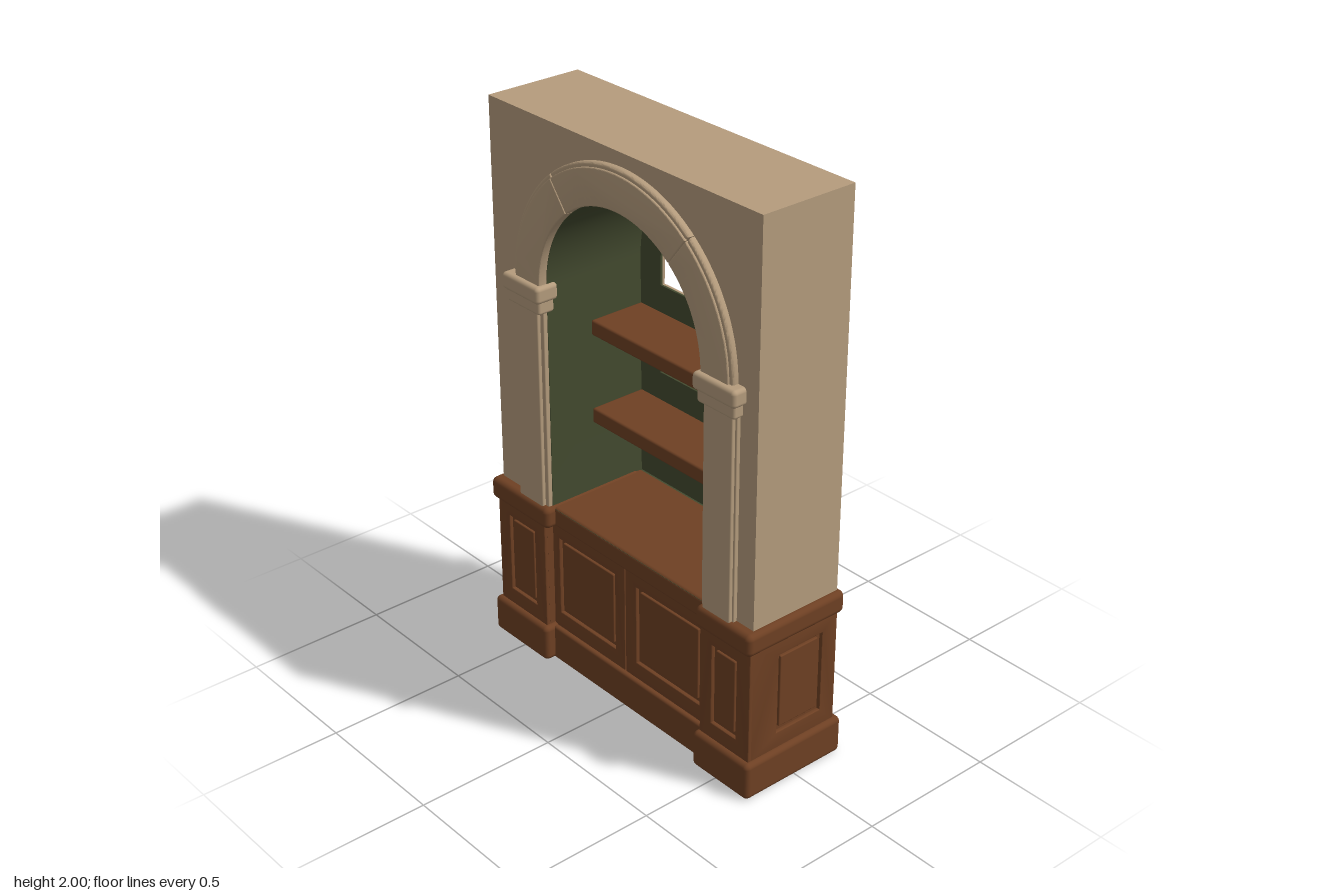
import * as THREE from 'three';
import { toCreasedNormals } from 'three/addons/utils/BufferGeometryUtils.js';
import { RoundedBoxGeometry } from 'three/addons/geometries/RoundedBoxGeometry.js';

const CX = 0.022;      // niche centre line
const SPRING = 1.435;  // height where the arches spring
const COUNTER = 0.62;

export function createModel() {
  const root = new THREE.Group();
  root.name = 'archedBookcase';
  const material = (name, color) => {
    const m = new THREE.MeshStandardMaterial({ color });
    m.name = name;
    return m;
  };
  const plaster = material('plaster', 0xb59c7d);
  const wood = material('wood', 0x6e4023);
  const green = material('greenLining', 0x434a2f);

  const add = (name, geometry, mat, parent = root) => {
    const mesh = new THREE.Mesh(geometry, mat);
    mesh.name = name;
    parent.add(mesh);
    return mesh;
  };

  // Box given by its limits, optionally with rounded edges
  const box = (name, mat, [x0, x1], [y0, y1], [z0, z1], r = 0, parent = root) => {
    const s = [x1 - x0, y1 - y0, z1 - z0];
    const g = r ? new RoundedBoxGeometry(...s, 3, r) : new THREE.BoxGeometry(...s);
    g.translate((x0 + x1) / 2, (y0 + y1) / 2, (z0 + z1) / 2);
    return add(name, g, mat, parent);
  };

  // Extrusion between two depths with creased normals
  const extrude = (shape, z0, z1, bevel = 0) => {
    const g = new THREE.ExtrudeGeometry(shape, {
      depth: z1 - z0 - 2 * bevel, curveSegments: 40, bevelEnabled: bevel > 0,
      bevelThickness: bevel, bevelSize: bevel, bevelOffset: -bevel, bevelSegments: 3,
    });
    g.translate(0, 0, z0 + bevel);
    return toCreasedNormals(g, 0.6);
  };

  // Upright outline with a half-round top
  const archOutline = (path, r, bottom, legR = r, shoulder = SPRING) => {
    path.moveTo(CX - legR, bottom);
    path.lineTo(CX + legR, bottom);
    path.lineTo(CX + legR, shoulder);
    path.lineTo(CX + r, shoulder);
    path.lineTo(CX + r, SPRING);
    path.absarc(CX, SPRING, r, 0, Math.PI, false);
    path.lineTo(CX - r, shoulder);
    path.lineTo(CX - legR, shoulder);
    path.closePath();
    return path;
  };
  const rect = (path, x0, x1, y0, y1) => {
    path.moveTo(x0, y0);
    path.lineTo(x1, y0);
    path.lineTo(x1, y1);
    path.lineTo(x0, y1);
    path.closePath();
    return path;
  };

  // Wall block with the niche opening
  const wall = new THREE.Shape();
  wall.moveTo(-0.63, COUNTER);
  wall.lineTo(CX - 0.39, COUNTER);
  wall.lineTo(CX - 0.39, SPRING);
  wall.absarc(CX, SPRING, 0.39, Math.PI, 0, true);
  wall.lineTo(CX + 0.39, COUNTER);
  wall.lineTo(0.63, COUNTER);
  wall.lineTo(0.63, 2);
  wall.lineTo(-0.63, 2);
  wall.closePath();
  add('wall', extrude(wall, -0.18, 0.178), plaster);

  // Niche lining
  const lining = archOutline(new THREE.Shape(), 0.392, COUNTER - 0.005);
  lining.holes.push(archOutline(new THREE.Path(), 0.382, COUNTER - 0.004));
  add('nicheLining', extrude(lining, -0.222, 0.176), green);

  // Openings in the niche back: two slots and a stepped arched window
  const backOpenings = () => {
    const [x0, x1] = [-0.26, 0.302];
    const arched = new THREE.Path();
    arched.moveTo(x0, 1.355);
    arched.lineTo(x1, 1.355);
    const steps = 14, r = 0.281, top = 1.72, start = 1.44;
    const half = (i) => r * Math.sqrt(1 - ((i + 0.3) / steps) ** 2);
    const level = (i) => start + (top - start) * (i / steps);
    for (let i = 0; i < steps; i++) {
      arched.lineTo(CX + half(i), level(i));
      arched.lineTo(CX + half(i), level(i + 1));
    }
    for (let i = steps - 1; i >= 0; i--) {
      arched.lineTo(CX - half(i), level(i + 1));
      arched.lineTo(CX - half(i), level(i));
    }
    arched.closePath();
    return [
      rect(new THREE.Path(), x0, x1, 0.71, 0.775),
      rect(new THREE.Path(), x0, x1, 1.035, 1.1),
      arched,
    ];
  };
  const innerBack = archOutline(new THREE.Shape(), 0.385, COUNTER);
  innerBack.holes.push(...backOpenings());
  add('nicheBackFace', extrude(innerBack, -0.222, -0.214), green);
  const outerBack = archOutline(new THREE.Shape(), 0.482, 0.58, 0.465, 1.37);
  outerBack.holes.push(...backOpenings());
  add('nicheBackPanel', extrude(outerBack, -0.232, -0.222), plaster);
  const backRim = archOutline(new THREE.Shape(), 0.482, 0.58, 0.465, 1.37);
  backRim.holes.push(archOutline(new THREE.Path(), 0.392, 0.6));
  add('nicheBackRim', extrude(backRim, -0.222, -0.178), plaster);

  // Shelves
  for (const y of [0.88, 1.205]) {
    box('shelf', wood, [CX - 0.382, CX + 0.382], [y, y + 0.055], [-0.216, 0.0], 0.008);
  }

  // Arch moulding in three stones
  const joints = [0, 0.9, 2.24, Math.PI];
  for (let i = 0; i < 3; i++) {
    const stone = new THREE.Shape();
    const a = joints[i] + (i ? 0.002 : 0), b = joints[i + 1] - (i < 2 ? 0.002 : 0);
    stone.absarc(CX, SPRING, 0.52 - 0.015, a, b, false);
    stone.absarc(CX, SPRING, 0.384, b, a, true);
    stone.closePath();
    add('archStone', extrude(stone, 0.165, 0.207, 0.004), plaster);
    const rim = new THREE.Shape();
    rim.absarc(CX, SPRING, 0.52, a, b, false);
    rim.absarc(CX, SPRING, 0.49, b, a, true);
    rim.closePath();
    add('archRim', extrude(rim, 0.165, 0.2, 0.008), plaster);
  }

  // Pilasters with two-tier capitals
  for (const s of [-1, 1]) {
    const span = (a, b) => [CX + s * a, CX + s * b].sort((p, q) => p - q);
    const pilaster = new THREE.Group();
    pilaster.name = s < 0 ? 'rightPilaster' : 'leftPilaster';
    root.add(pilaster);
    box('pilasterBack', plaster, span(0.384, 0.532), [COUNTER, 1.36], [0.16, 0.192], 0.004, pilaster);
    box('pilasterShaft', plaster, span(0.4, 0.525), [COUNTER, 1.36], [0.16, 0.205], 0.005, pilaster);
    box('capitalNeck', plaster, span(0.378, 0.542), [1.34, 1.395], [0.15, 0.215], 0.01, pilaster);
    box('capitalTop', plaster, span(0.368, 0.555), [1.383, 1.442], [0.14, 0.228], 0.014, pilaster);
  }

  // Framed panel facing +z: a frame with a raised field inside its opening
  const framedPanel = (name, outer, inner, z, parent) => {
    const g = new THREE.Group();
    g.name = name;
    parent.add(g);
    const frame = rect(new THREE.Shape(), ...outer);
    frame.holes.push(rect(new THREE.Path(), ...inner));
    add('panelFrame', extrude(frame, z - 0.016, z, 0.003), wood, g);
    const [x0, x1, y0, y1] = inner;
    box('panelField', wood, [x0 + 0.014, x1 - 0.014], [y0 + 0.014, y1 - 0.014], [z - 0.025, z - 0.005], 0.004, g);
    return g;
  };

  // Pedestals at both ends of the base
  const pedestals = [
    { name: 'rightPedestal', s: -1, plinth: [-0.656, -0.366], body: [-0.638, -0.385], cap: [-0.654, -0.346], panel: [-0.58, -0.44] },
    { name: 'leftPedestal', s: 1, plinth: [0.394, 0.656], body: [0.408, 0.638], cap: [0.4, 0.652], panel: [0.462, 0.578] },
  ];
  for (const { name, s, plinth, body, cap, panel } of pedestals) {
    const g = new THREE.Group();
    g.name = name;
    root.add(g);
    box('plinth', wood, plinth, [0.005, 0.14], [-0.2, 0.218], 0.018, g);
    box('counterEnd', wood, cap, [0.545, 0.625], [-0.198, 0.217], 0.02, g);
    const core = s < 0 ? [body[0] + 0.014, body[1]] : [body[0], body[1] - 0.014];
    box('pedestalBody', wood, core, [0.12, 0.56], [-0.178, 0.183], 0, g);
    framedPanel('frontPanel', [...body, 0.13, 0.555], [...panel, 0.198, 0.495], 0.197, g);
    // Outer side panel, turned to face sideways
    const side = framedPanel('sidePanel', [-0.196, 0.178, 0.13, 0.555], [-0.075, 0.115, 0.198, 0.495], 0.638, g);
    side.rotation.y = s * Math.PI / 2;
    if (s < 0) side.scale.x = 1, side.position.z = 0.018;
    if (s < 0) side.children.forEach((m) => m.geometry.translate(m.name === 'panelField' ? -0.04 : 0, 0, 0));
    if (s < 0) {
      // Mirror the layout so the wider margin stays at the back
      g.remove(side);
      const mirrored = framedPanel('sidePanel', [-0.178, 0.196, 0.13, 0.555], [-0.115, 0.075, 0.198, 0.495], 0.638, g);
      mirrored.rotation.y = -Math.PI / 2;
    }
  }

  // Central cabinet
  const cabinet = new THREE.Group();
  cabinet.name = 'cabinet';
  root.add(cabinet);
  box('cabinetBody', wood, [-0.42, 0.45], [0.005, 0.58], [-0.232, 0.145], 0, cabinet);
  box('cabinetPlinth', wood, [-0.39, 0.42], [0.005, 0.135], [-0.15, 0.178], 0.01, cabinet);
  box('counterTop', wood, [-0.4, 0.44], [0.548, COUNTER], [-0.215, 0.178], 0.012, cabinet);
  framedPanel('rightDoor', [-0.386, -0.008, 0.13, 0.55], [-0.352, -0.058, 0.195, 0.492], 0.16, cabinet);
  framedPanel('leftDoor', [-0.004, 0.41, 0.13, 0.55], [0.05, 0.365, 0.195, 0.492], 0.16, cabinet);

  // Back of the base below the niche
  box('baseBack', wood, [CX - 0.455, CX + 0.455], [0.005, 0.58], [-0.232, -0.1], 0, cabinet);

  return root;
}
